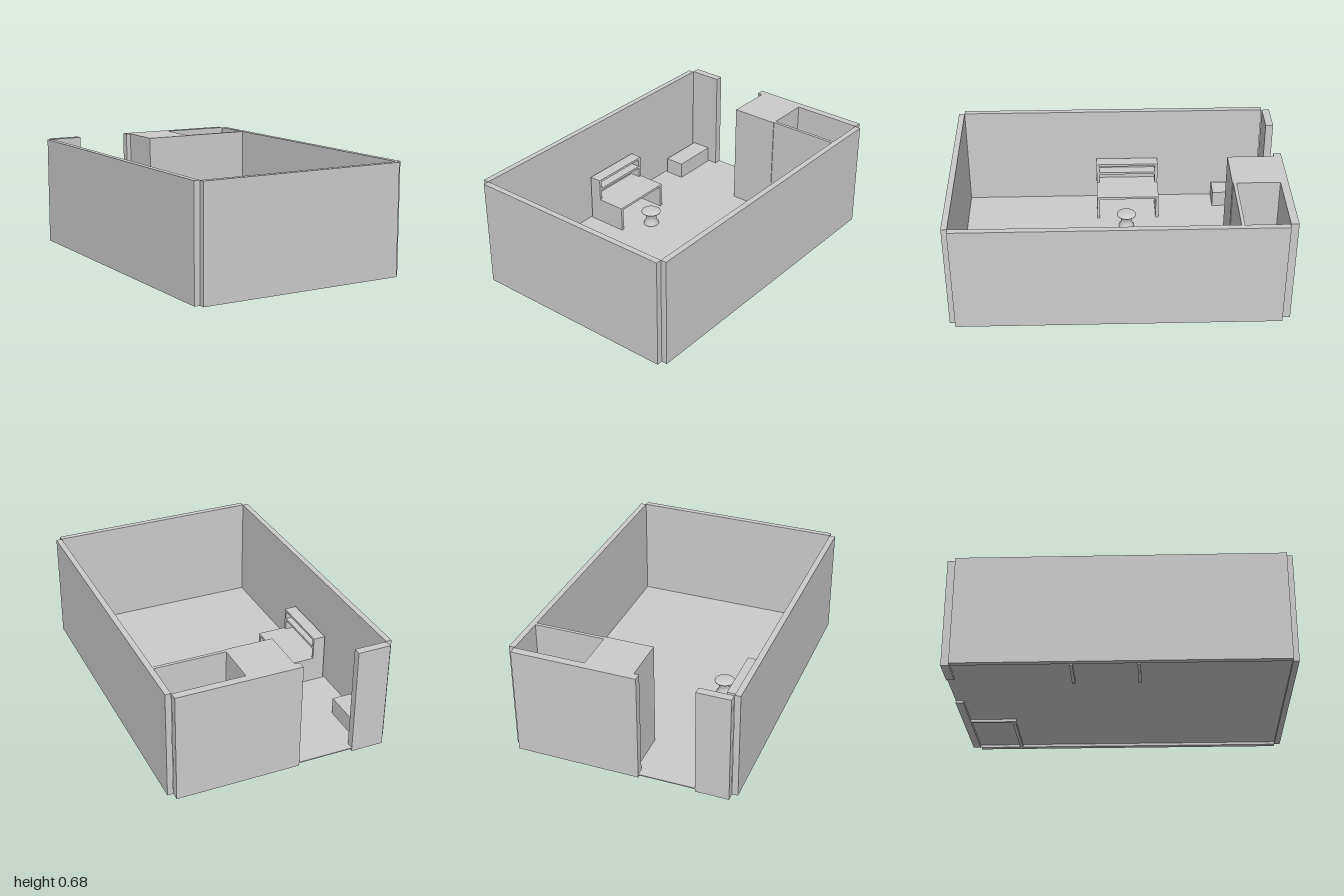
import * as THREE from 'three';

const material = new THREE.MeshStandardMaterial({ color: 0xcccccc, side: THREE.DoubleSide });

// Box given by its extents along each axis
function box(parent, name, [x0, x1], [y0, y1], [z0, z1]) {
  const mesh = new THREE.Mesh(new THREE.BoxGeometry(x1 - x0, y1 - y0, z1 - z0), material);
  mesh.position.set((x0 + x1) / 2, (y0 + y1) / 2, (z0 + z1) / 2);
  mesh.name = name;
  parent.add(mesh);
  return mesh;
}

function group(parent, name) {
  const g = new THREE.Group();
  g.name = name;
  parent.add(g);
  return g;
}

export function createModel() {
  const room = new THREE.Group();
  room.name = 'room';
  const wallY = [0.005, 0.675];
  const floorTop = 0.028;

  // Floor slab, set a little above the lower edge of the walls
  box(room, 'floor', [-0.645, 0.645], [0.022, floorTop], [-1, 0.965]);

  // Outer walls with open corners and a doorway in the back
  const walls = group(room, 'walls');
  box(walls, 'frontWall', [-0.645, 0.645], wallY, [0.965, 1]);
  box(walls, 'leftWall', [0.645, 0.68], wallY, [-0.95, 0.965]);
  box(walls, 'rightWall', [-0.68, -0.645], wallY, [-0.95, 0.965]);
  box(walls, 'backWallRight', [-0.645, -0.445], wallY, [-1, -0.953]);

  // Back wall, solid block and closet walls share one flat top with an open shaft
  box(walls, 'backWallLeft', [-0.105, 0.645], wallY, [-1, -0.953]);
  const closet = group(room, 'closet');
  box(closet, 'closetBlock', [-0.075, 0.2], [0.022, 0.675], [-0.953, -0.67]);
  box(closet, 'closetSideWall', [0.2, 0.217], wallY, [-0.953, -0.67]);
  box(closet, 'closetFrontWall', [0.217, 0.645], wallY, [-0.695, -0.675]);

  // Low cabinet beside the doorway
  box(room, 'cabinet', [-0.63, -0.505], [0.022, 0.132], [-0.945, -0.645]);

  // Desk with two side panels and a shelf unit along the wall
  const desk = group(room, 'desk');
  const deskZ = [-0.28, 0.12];
  box(desk, 'deskTop', [-0.635, -0.38], [0.172, 0.187], deskZ);
  const ends = [[-0.28, -0.262], [0.102, 0.12]];
  for (const z of ends) {
    box(desk, 'deskSidePanel', [-0.635, -0.38], [0, 0.172], z);
    box(desk, 'shelfSidePanel', [-0.635, -0.56], [0.187, 0.327], z);
  }
  box(desk, 'shelfBack', [-0.635, -0.625], [0.187, 0.327], [-0.262, 0.102]);
  for (const y of [0.25, 0.312]) {
    box(desk, 'shelfBoard', [-0.625, -0.56], [y, y + 0.015], [-0.262, 0.102]);
  }

  // Round stool: flared pedestal below a softly domed seat
  const stool = group(room, 'stool');
  const base = [[0, 0.022], [0.05, 0.022], [0.048, 0.034], [0.034, 0.06], [0.034, 0.08], [0.045, 0.11]];
  const toPoints = (list) => list.map(([r, y]) => new THREE.Vector2(r, y));
  const pedestal = new THREE.Mesh(new THREE.LatheGeometry(toPoints(base), 32), material);
  pedestal.name = 'stoolPedestal';
  const seat = new THREE.Mesh(new THREE.SphereGeometry(0.062, 32, 16), material);
  seat.name = 'stoolSeat';
  seat.scale.y = 0.25;
  seat.position.y = 0.115;
  stool.add(pedestal, seat);
  stool.position.set(-0.293, 0, -0.067);

  return room;
}
